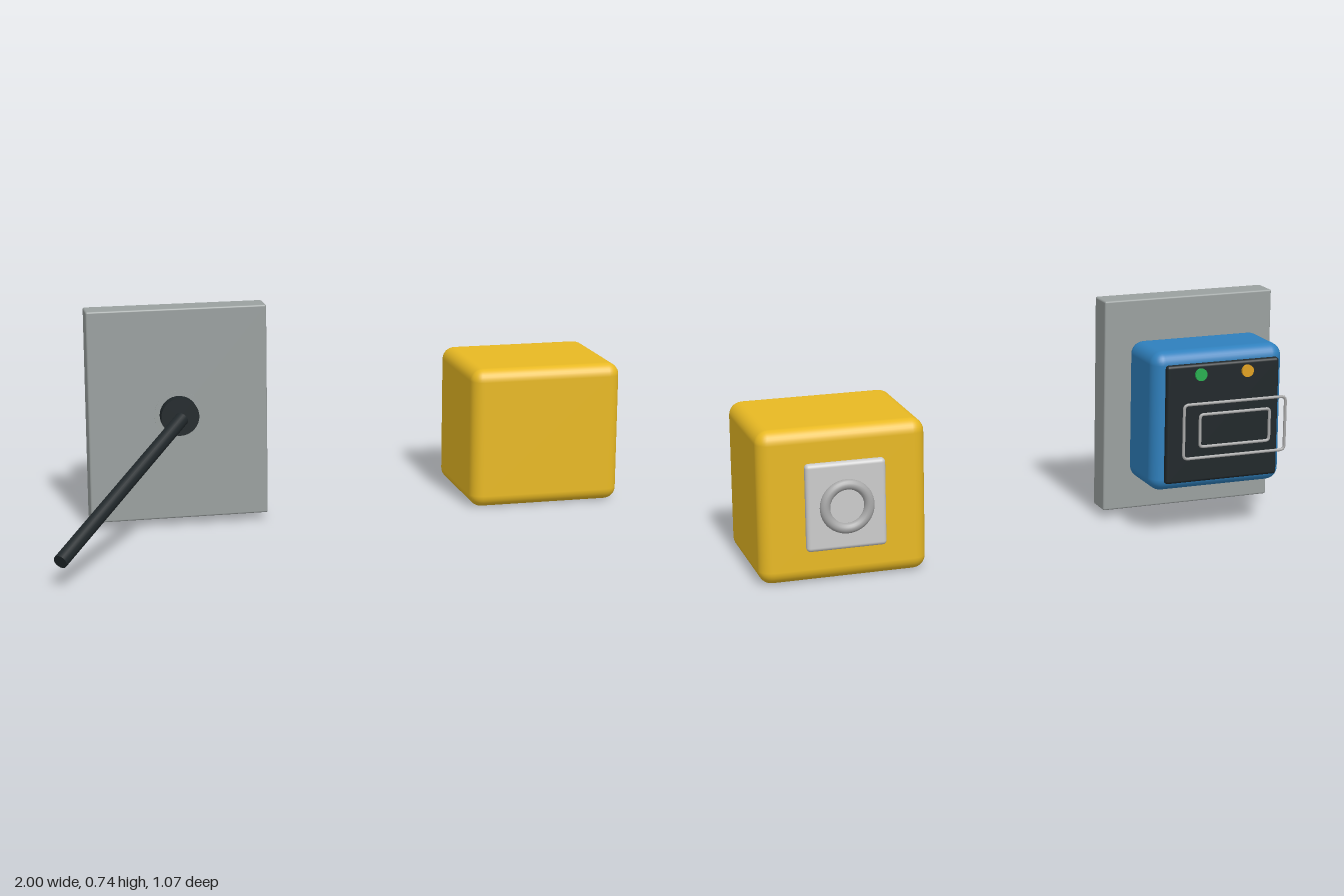
import * as THREE from 'three';
import { RoundedBoxGeometry } from 'three/addons/geometries/RoundedBoxGeometry.js';

const paint = (color) => new THREE.MeshStandardMaterial({ color });
const yellow = paint(0xe8b923), blue = paint(0x2f80bd), wall = paint(0x9aa09f), black = paint(0x20272a);
const pale = paint(0xcccccc), steel = paint(0xaaaaaa), green = paint(0x27ae50), amber = paint(0xe0a020);

function add(parent, name, geometry, material, x = 0, y = 0, z = 0) {
  const mesh = new THREE.Mesh(geometry, material);
  mesh.name = name;
  mesh.position.set(x, y, z);
  parent.add(mesh);
  return mesh;
}

const box = (w, h, d, r) => new RoundedBoxGeometry(w, h, d, 4, r);

// Short cylinder whose axis runs along z
const disc = (r, depth) => new THREE.CylinderGeometry(r, r, depth, 40).rotateX(Math.PI / 2);

// Closed wire rectangle with rounded corners
function wireLoop(w, h, r, wire) {
  const x = w / 2 - wire, y = h / 2 - wire;
  const path = new THREE.CurvePath();
  const v = (a, b) => new THREE.Vector3(a, b, 0);
  const corners = [[x, y], [-x, y], [-x, -y], [x, -y]];
  corners.forEach(([cx, cy], i) => {
    const [px, py] = corners[(i + 3) % 4], [nx, ny] = corners[(i + 1) % 4];
    const a = v(cx + Math.sign(px - cx) * r, cy + Math.sign(py - cy) * r);
    const b = v(cx + Math.sign(nx - cx) * r, cy + Math.sign(ny - cy) * r);
    const c = v(nx + Math.sign(cx - nx) * r, ny + Math.sign(cy - ny) * r);
    path.add(new THREE.QuadraticBezierCurve3(a, v(cx, cy), b));
    path.add(new THREE.LineCurve3(b, c));
  });
  return new THREE.TubeGeometry(path, 160, wire, 8, true);
}

// Round bar between two points
function addBar(parent, name, from, to, radius, material) {
  const dir = to.clone().sub(from);
  const bar = add(parent, name, new THREE.CylinderGeometry(radius, radius, dir.length(), 24), material);
  bar.position.copy(from).add(to).multiplyScalar(0.5);
  bar.quaternion.setFromUnitVectors(new THREE.Vector3(0, 1, 0), dir.normalize());
}

export function createModel() {
  const model = new THREE.Group();

  // Rounded cube with a ringed plate on its back
  const cube = new THREE.Group();
  cube.name = 'cubeUnit';
  add(cube, 'cube', box(0.526, 0.482, 0.434, 0.042), yellow, 0.735, 0.241, -0.247);
  add(cube, 'cubePlate', box(0.25, 0.275, 0.03, 0.013), pale, 0.735, 0.243, -0.481);
  add(cube, 'cubeRing', new THREE.TorusGeometry(0.069, 0.016, 16, 48), steel, 0.735, 0.243, -0.5);
  model.add(cube);

  // Upright slab with a hub and rod in front
  const panel = new THREE.Group();
  panel.name = 'panelUnit';
  const cx = -0.527, cy = 0.38;
  add(panel, 'slab', box(0.594, 0.71, 0.09, 0.006), wall, cx, cy, -0.11);
  add(panel, 'hubCollar', disc(0.08, 0.02), wall, cx, cy, -0.074);
  add(panel, 'hub', disc(0.063, 0.045), black, cx, cy, -0.049);
  addBar(panel, 'rod', new THREE.Vector3(-0.525, 0.38, -0.005), new THREE.Vector3(-0.982, 0.086, 0.519), 0.023, black);

  // Blue housing with its dark control face
  add(panel, 'housing', box(0.456, 0.46, 0.226, 0.042), blue, cx, cy, -0.294);
  add(panel, 'controlFace', box(0.39, 0.39, 0.024, 0.01), black, cx, cy, -0.427);
  [['amberLamp', amber, -1], ['greenLamp', green, 1]].forEach(([name, material, side]) =>
    add(panel, name, disc(0.02, 0.012), material, cx + side * 0.081, 0.541, -0.442));

  // Nested wire loops standing off the control face
  add(panel, 'outerLoop', wireLoop(0.36, 0.186, 0.015, 0.005), steel, cx, 0.382, -0.53);
  add(panel, 'innerLoop', wireLoop(0.25, 0.115, 0.012, 0.005), steel, cx, 0.382, -0.53);
  model.add(panel);

  return model;
}
